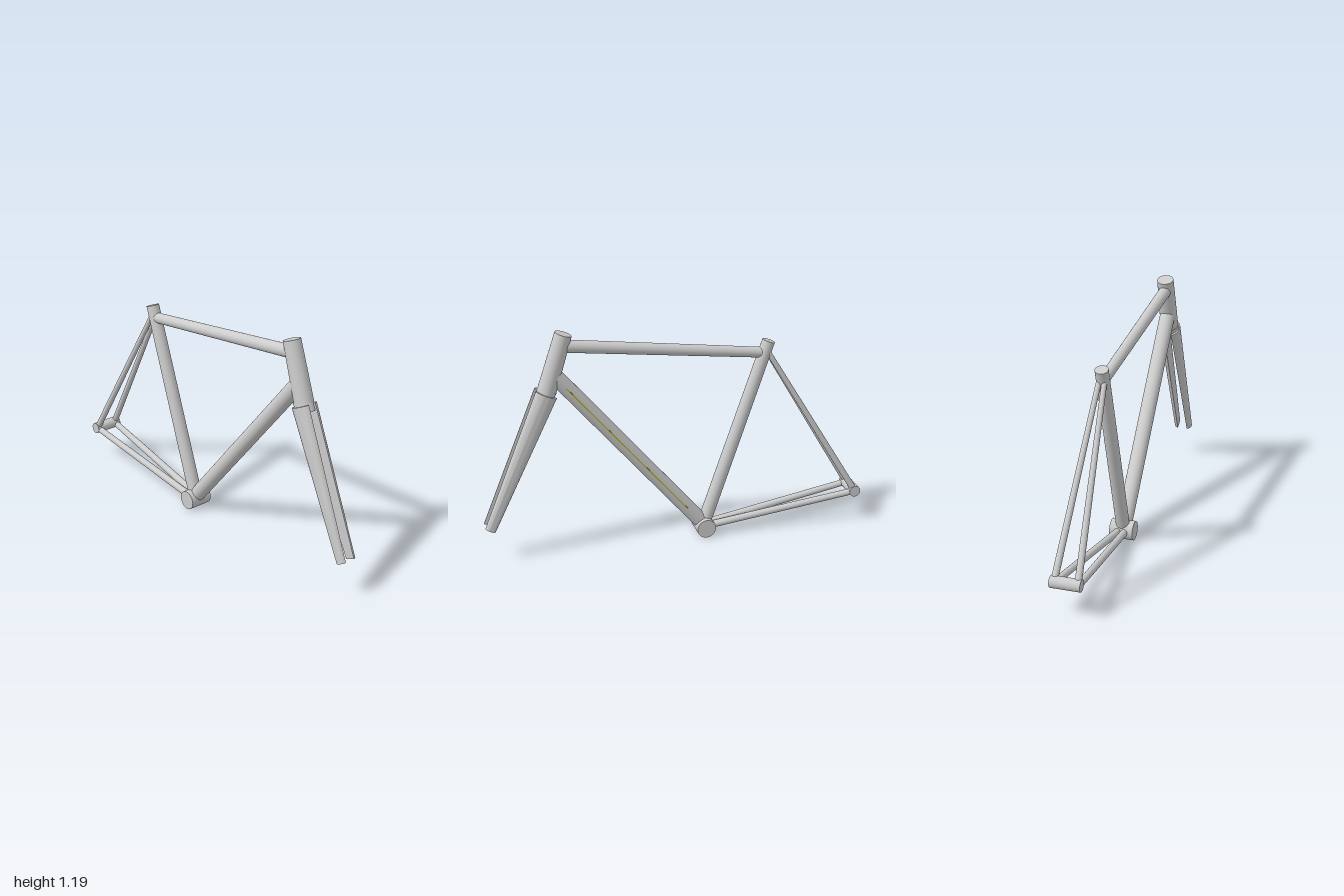
import * as THREE from 'three';
import { toCreasedNormals } from 'three/addons/utils/BufferGeometryUtils.js';

const grey = new THREE.MeshStandardMaterial({ color: 0xcccccc });
const lime = new THREE.MeshStandardMaterial({ color: 0xa3b414 });
const Y = new THREE.Vector3(0, 1, 0);

// Place a y-aligned geometry of the right length between two points
function span(name, geometry, a, b, material = grey) {
  const mesh = new THREE.Mesh(geometry, material);
  mesh.name = name;
  mesh.position.copy(a).add(b).multiplyScalar(0.5);
  mesh.quaternion.setFromUnitVectors(Y, b.clone().sub(a).normalize());
  return mesh;
}

// Round tube from a to b, tapering from ra to rb
function tube(name, pa, pb, ra, rb = ra) {
  const a = new THREE.Vector3(...pa), b = new THREE.Vector3(...pb);
  return span(name, new THREE.CylinderGeometry(rb, ra, a.distanceTo(b), 40), a, b);
}

// D-section fork blade: flat on the inside, rounded outside, tapering to the tip
function forkBlade(name, side, z) {
  const tip = new THREE.Vector3(0.973, 0.183, z), top = new THREE.Vector3(0.66, 0.88, z);
  const length = tip.distanceTo(top);
  const geo = new THREE.CylinderGeometry(1, 1, length, 40, 1);
  const p = geo.attributes.position;
  for (let i = 0; i < p.count; i++) {
    const t = p.getY(i) / length + 0.5;
    const inner = THREE.MathUtils.lerp(0.027, 0.02, t);
    const outer = THREE.MathUtils.lerp(0.05, 0.054, t);
    const bulge = Math.max(0, p.getZ(i) * side);
    p.setX(i, p.getX(i) * THREE.MathUtils.lerp(0.028, 0.056, t));
    p.setZ(i, side * (inner + (outer - inner) * bulge));
  }
  return span(name, toCreasedNormals(geo, 0.6), tip, top);
}

export function createModel() {
  const model = new THREE.Group();
  model.name = 'bicycleFrame';

  // Main triangle
  model.add(
    tube('headTube', [0.656, 0.888, 0.015], [0.563, 1.178, 0.015], 0.048, 0.043),
    tube('seatTube', [-0.151, 0.055, 0.01], [-0.488, 1.043, 0.015], 0.035, 0.033),
    tube('topTube', [-0.47, 0.981, 0.015], [0.575, 1.117, 0.015], 0.027, 0.032),
    tube('downTube', [-0.151, 0.055, 0.01], [0.62, 0.976, 0.015], 0.04),
    tube('bottomBracketShell', [-0.151, 0.05, -0.051], [-0.151, 0.05, 0.072], 0.05),
    tube('rearAxle', [-0.97, 0.172, -0.076], [-0.97, 0.172, 0.076], 0.03)
  );

  // Thin coloured stripe along the back of the down tube
  const a = new THREE.Vector3(-0.05, 0.176, -0.0287), b = new THREE.Vector3(0.565, 0.91, -0.0247);
  model.add(span('downTubeStripe', new THREE.BoxGeometry(0.006, a.distanceTo(b), 0.003), a, b, lime));

  // Rear stays
  for (const side of [-1, 1]) {
    const label = side > 0 ? 'left' : 'right';
    const z = side * 0.058;
    model.add(
      tube(label + 'SeatStay', [-0.97, 0.176, z], [-0.48, 0.99, 0.014 + side * 0.013], 0.017, 0.013),
      tube(label + 'ChainStay', [-0.97, 0.168, z], [-0.16, 0.047, 0.01 + side * 0.016], 0.017, 0.019)
    );
  }

  // Fork
  const fork = new THREE.Group();
  fork.name = 'fork';
  fork.add(
    tube('forkCrown', [0.674, 0.848, 0.017], [0.65, 0.9, 0.017], 0.048),
    forkBlade('leftForkBlade', 1, 0.017),
    forkBlade('rightForkBlade', -1, 0.017)
  );
  model.add(fork);
  return model;
}
